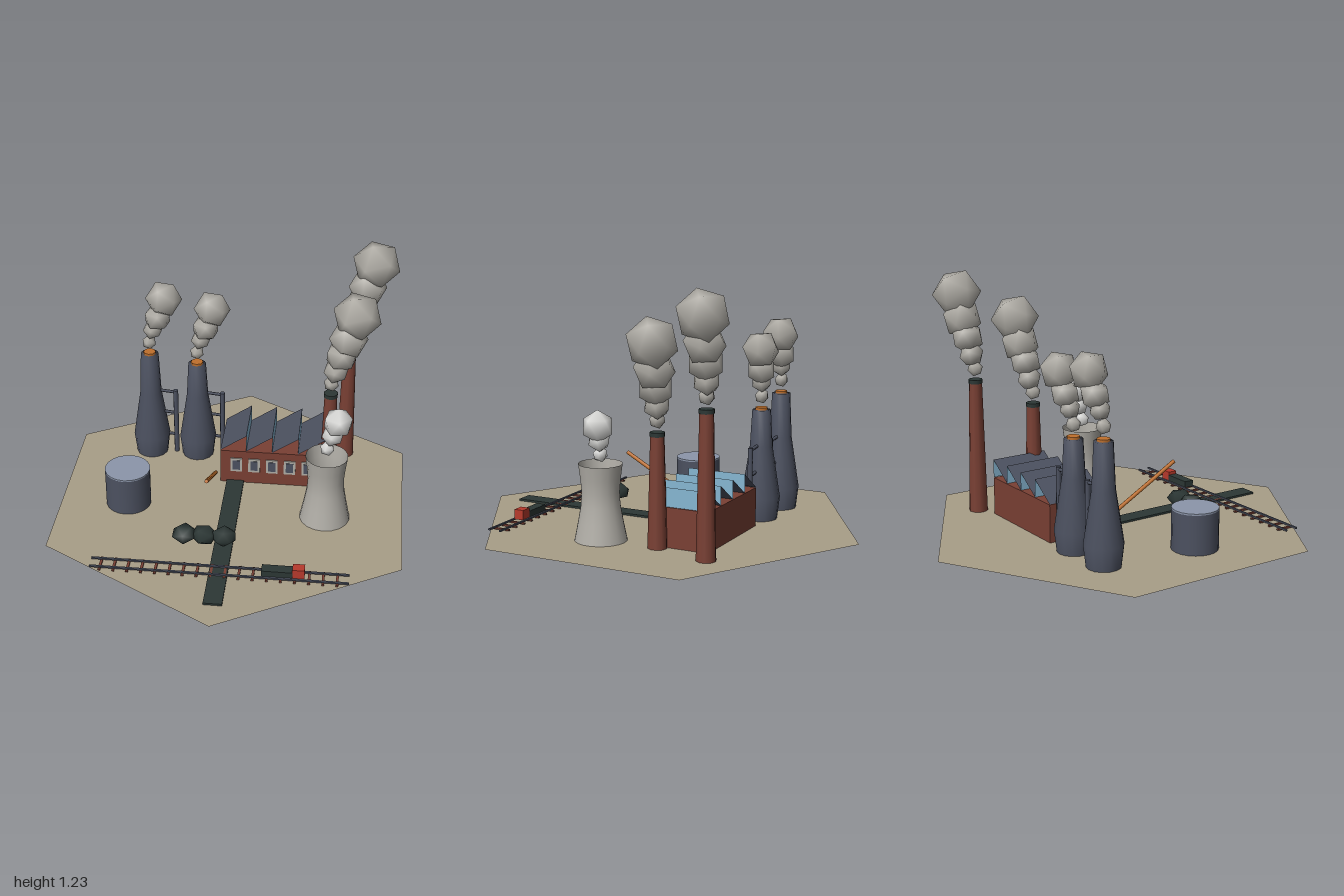
import * as THREE from 'three';

const flat = (name, color, extra = {}) => {
  const m = new THREE.MeshStandardMaterial({ color, ...extra });
  m.name = name;
  return m;
};

export function createModel() {
  const both = { side: THREE.DoubleSide };
  const sand = flat('sand', 0xa89e88, both);
  const brick = flat('brick', 0x7a4034);
  const slate = flat('slate', 0x4c5160, both);
  const glass = flat('glass', 0x86b6d2, both);
  const concrete = flat('concrete', 0xb0ada6, both);
  const steam = flat('steam', 0xdcdcda);
  const coal = flat('coal', 0x2c3735);
  const copper = flat('copper', 0xc0702c);
  const red = flat('red', 0xb83a2c);
  const steel = flat('steel', 0x8c96aa);

  const model = new THREE.Group();
  model.name = 'steelworks';

  const group = (name, x = 0, y = 0, z = 0) => {
    const g = new THREE.Group();
    g.name = name;
    g.position.set(x, y, z);
    model.add(g);
    return g;
  };
  const add = (parent, name, geo, mat, x = 0, y = 0, z = 0) => {
    const mesh = new THREE.Mesh(geo, mat);
    mesh.name = name;
    mesh.position.set(x, y, z);
    parent.add(mesh);
    return mesh;
  };
  const box = (parent, name, mat, w, h, d, x, y, z) =>
    add(parent, name, new THREE.BoxGeometry(w, h, d), mat, x, y, z);
  const cyl = (parent, name, mat, rTop, rBottom, h, sides, x, y, z) =>
    add(parent, name, new THREE.CylinderGeometry(rTop, rBottom, h, sides), mat, x, y, z);
  const lathe = (pts, sides) =>
    new THREE.LatheGeometry(pts.map(([r, y]) => new THREE.Vector2(r, y)), sides);

  // Coarse ball with smooth radial normals
  const puffGeo = new THREE.IcosahedronGeometry(1, 0);
  const v = new THREE.Vector3();
  for (let i = 0; i < puffGeo.attributes.position.count; i++) {
    v.fromBufferAttribute(puffGeo.attributes.position, i).normalize();
    puffGeo.attributes.normal.setXYZ(i, v.x, v.y, v.z);
  }

  // Plume of growing puffs; each entry is [dx, dy, dz, radius]
  const plume = (name, mat, x, y, z, puffs) => {
    const g = group(name, x, y, z);
    puffs.forEach(([dx, dy, dz, r], i) => {
      const p = add(g, 'puff', puffGeo, mat, dx, dy, dz);
      p.scale.setScalar(r);
      p.rotation.set(0.3 + i * 0.7, i * 1.3, 0.55 + i * 0.4);
    });
  };

  // Hexagonal ground tile
  const ground = add(model, 'ground', new THREE.CircleGeometry(1, 6, Math.PI / 6), sand);
  ground.rotation.x = -Math.PI / 2;

  // Blast furnaces with side pipes
  for (const [x, h] of [[-0.478, 0.595], [-0.23, 0.55]]) {
    const g = group('blastFurnace', x, 0, -0.4);
    add(g, 'furnaceBody', lathe([[0.083, 0], [0.096, 0.11], [0.056, 0.37], [0.046, h], [0, h]], 14), slate);
    cyl(g, 'furnaceMouth', copper, 0.032, 0.032, 0.014, 8, 0, h + 0.005, 0);
    cyl(g, 'downPipe', slate, 0.013, 0.013, 0.38, 8, 0.132, 0.19, 0);
    for (const y of [0.11, 0.245, 0.372]) {
      const arm = cyl(g, 'pipeArm', slate, 0.008, 0.008, 0.1, 6, 0.085, y, 0);
      arm.rotation.z = Math.PI / 2 - 0.1;
    }
    plume('furnaceSmoke', concrete, x, h, -0.4, [
      [0, 0.067, 0, 0.037], [0.02, 0.14, -0.005, 0.052],
      [0.045, 0.205, -0.015, 0.073], [0.078, 0.31, -0.025, 0.095],
    ]);
  }

  // Storage tank
  const tank = group('storageTank', -0.524, 0, 0.09);
  cyl(tank, 'tankWall', slate, 0.114, 0.114, 0.198, 20, 0, 0.099, 0);
  cyl(tank, 'tankLid', steel, 0.114, 0.114, 0.008, 20, 0, 0.202, 0);

  // Factory hall with open-ended sawtooth roof
  const hall = group('factoryHall', 0.188, 0, -0.29);
  box(hall, 'hallWalls', brick, 0.535, 0.192, 0.3, 0, 0.096, 0);
  const bay = 0.535 / 4, rise = 0.092;
  for (let i = 0; i < 4; i++) {
    const x = -0.2675 + bay * i;
    const slope = add(hall, 'roofSlope', new THREE.PlaneGeometry(Math.hypot(bay, rise), 0.3).rotateX(-Math.PI / 2),
      slate, x + bay / 2, 0.194 + rise / 2, 0);
    slope.rotation.z = Math.atan2(rise, bay);
    add(hall, 'roofGlazing', new THREE.PlaneGeometry(0.3, rise).rotateY(Math.PI / 2),
      glass, x + bay, 0.194 + rise / 2, 0);
  }
  for (let i = -2; i <= 2; i++) {
    box(hall, 'windowFrame', concrete, 0.06, 0.08, 0.008, i * 0.092, 0.11, 0.152);
    box(hall, 'windowPane', slate, 0.038, 0.056, 0.006, i * 0.092, 0.11, 0.155);
  }

  // Brick chimneys
  for (const [x, z, h] of [[0.555, -0.477, 0.685], [0.475, -0.19, 0.54]]) {
    const g = group('chimney', x, 0, z);
    cyl(g, 'chimneyStack', brick, 0.033, 0.047, h - 0.01, 10, 0, (h - 0.01) / 2, 0);
    cyl(g, 'chimneyCap', coal, 0.036, 0.036, 0.02, 10, 0, h - 0.005, 0);
    plume('chimneySmoke', concrete, x, h, z, [
      [0, 0.06, 0, 0.04], [0.02, 0.13, -0.008, 0.065], [0.045, 0.215, -0.015, 0.085],
      [0.075, 0.305, -0.025, 0.1], [0.112, 0.43, -0.033, 0.123],
    ]);
  }

  // Cooling tower, open at the top
  const tower = group('coolingTower', 0.476, 0, 0.11);
  add(tower, 'towerShell', lathe([[0.126, 0], [0.108, 0.09], [0.094, 0.17], [0.09, 0.235], [0.096, 0.3], [0.105, 0.368]], 18), concrete);
  plume('towerSteam', steam, 0.476, 0.368, 0.11, [
    [0, 0.042, 0, 0.037], [0.024, 0.115, -0.008, 0.056], [0.048, 0.185, -0.015, 0.078],
  ]);

  // Conveyor road and sloping pipe
  box(model, 'conveyorRoad', coal, 0.09, 0.01, 0.995, -0.002, 0.006, 0.357);
  const pipe = cyl(model, 'slopingPipe', copper, 0.01, 0.01, 0.434, 8, -0.098, 0.187, 0.094);
  pipe.rotation.x = Math.atan2(0.38, 0.21);

  // Coal heaps
  [-0.195, -0.098, 0].forEach((x, i) => {
    const heap = add(model, 'coalHeap', puffGeo, coal, x, 0.053, 0.397);
    heap.scale.set(0.066, 0.045, 0.066);
    heap.rotation.y = i * 0.8;
  });

  // Railway
  const track = group('railway', 0, 0, 0.616);
  for (const z of [-0.031, 0.031]) box(track, 'rail', slate, 1.24, 0.008, 0.01, 0, 0.015, z);
  for (let i = 0; i < 18; i++) box(track, 'sleeper', brick, 0.012, 0.008, 0.095, -0.57 + i * 0.0667, 0.008, 0);

  // Short train
  box(track, 'wagon', coal, 0.148, 0.034, 0.052, 0.278, 0.033, 0);
  box(track, 'engine', red, 0.058, 0.05, 0.05, 0.38, 0.041, 0);

  return model;
}
